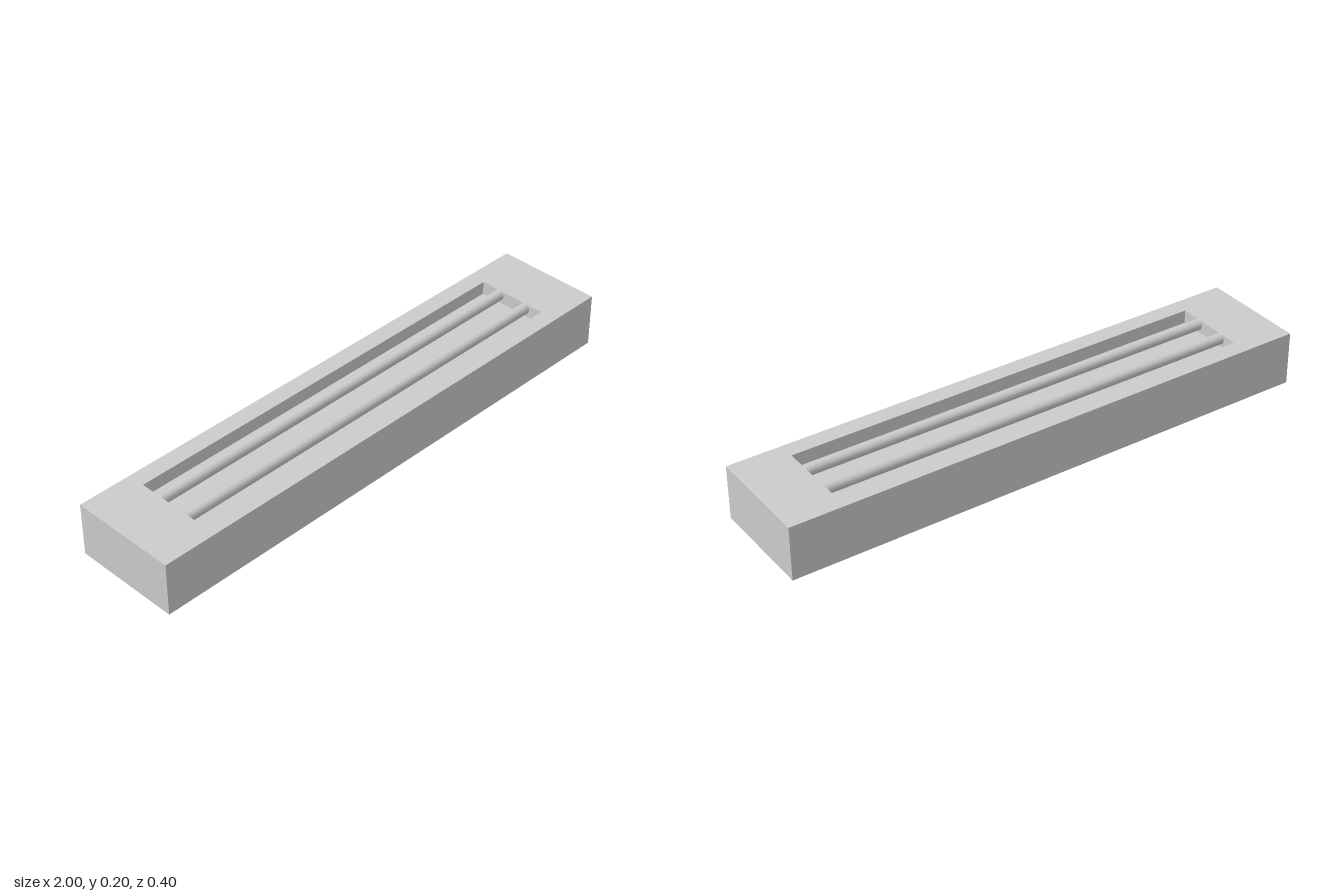
import * as THREE from 'three';

const LENGTH = 2, HEIGHT = 0.2, WIDTH = 0.4;
const SLOT_LENGTH = 1.6, SLOT_WIDTH = 0.27, FLOOR_Y = 0.15;
const TUBE_RADIUS = 0.02, TUBE_Y = 0.18, TUBE_Z = 0.06;

// Counter-clockwise rectangle centred on the origin
function rectangle(w, h, PathType) {
  return new PathType([[-1, -1], [1, -1], [1, 1], [-1, 1]]
    .map(([x, y]) => new THREE.Vector2(x * w / 2, y * h / 2)));
}

export function createModel() {
  const group = new THREE.Group();
  const material = new THREE.MeshStandardMaterial({ color: 0xcccccc });

  function add(name, geometry, x, y, z) {
    const mesh = new THREE.Mesh(geometry, material);
    mesh.name = name;
    mesh.position.set(x, y, z);
    group.add(mesh);
  }

  // Housing with a rectangular opening, full height
  const outline = rectangle(LENGTH, WIDTH, THREE.Shape);
  outline.holes.push(rectangle(SLOT_LENGTH, SLOT_WIDTH, THREE.Path));
  const frame = new THREE.ExtrudeGeometry(outline, { depth: HEIGHT, bevelEnabled: false });
  frame.rotateX(-Math.PI / 2);
  add('housing', frame, 0, 0, 0);

  // Solid block filling the opening up to the shallow recess floor
  add('recessFloor', new THREE.BoxGeometry(SLOT_LENGTH, FLOOR_Y, SLOT_WIDTH), 0, FLOOR_Y / 2, 0);

  // Two tubes spanning the recess, level with the rim
  const tube = new THREE.CylinderGeometry(TUBE_RADIUS, TUBE_RADIUS, SLOT_LENGTH, 32);
  tube.rotateZ(Math.PI / 2);
  add('frontTube', tube, 0, TUBE_Y, TUBE_Z);
  add('backTube', tube, 0, TUBE_Y, -TUBE_Z);

  return group;
}
